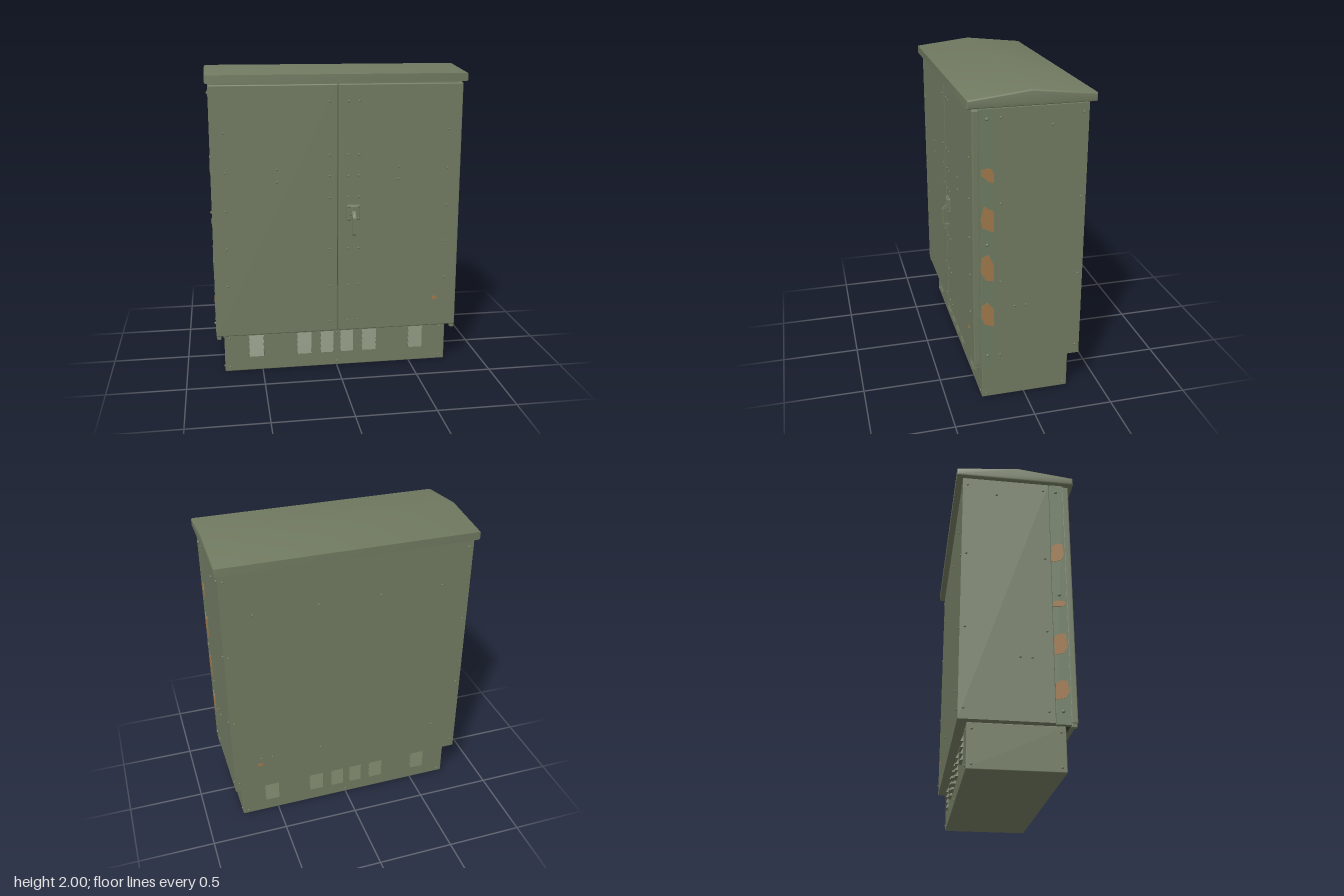
import * as THREE from 'three';
import { mergeGeometries, toCreasedNormals } from 'three/addons/utils/BufferGeometryUtils.js';
import { RoundedBoxGeometry } from 'three/addons/geometries/RoundedBoxGeometry.js';

const paint = new THREE.MeshStandardMaterial({ color: 0x707960 });
paint.name = 'olive paint';
const trim = new THREE.MeshStandardMaterial({ color: 0x6c7b61 });
trim.name = 'hinge strip green';
const rust = new THREE.MeshStandardMaterial({ color: 0xa0784a });
rust.name = 'rust';
const dark = new THREE.MeshStandardMaterial({ color: 0x3a4032 });
dark.name = 'seam shadow';

function add(parent, name, geometry, material, x = 0, y = 0, z = 0) {
  const mesh = new THREE.Mesh(geometry, material);
  mesh.name = name;
  mesh.position.set(x, y, z);
  parent.add(mesh);
  return mesh;
}

// Box given by its limits
function block(parent, name, [x0, x1], [y0, y1], [z0, z1], material, radius = 0) {
  const s = [x1 - x0, y1 - y0, z1 - z0];
  const g = radius ? new RoundedBoxGeometry(...s, 2, radius) : new THREE.BoxGeometry(...s);
  return add(parent, name, g, material, (x0 + x1) / 2, (y0 + y1) / 2, (z0 + z1) / 2);
}

// Profile of [z, y] points extruded along x, centred on x = 0
function extrudeX(points, width, bevel = 0) {
  const shape = new THREE.Shape(points.map(p => new THREE.Vector2(...p)));
  const g = new THREE.ExtrudeGeometry(shape, {
    depth: width - 2 * bevel, bevelEnabled: bevel > 0, bevelSize: bevel,
    bevelThickness: bevel, bevelOffset: -bevel, bevelSegments: 3,
  });
  g.rotateY(-Math.PI / 2).translate(width / 2 - bevel, 0, 0);
  return toCreasedNormals(g, 0.6);
}

// Domed rivet whose axis points along the given direction
function rivet(x, y, z, dir, scale = 1) {
  const g = new THREE.SphereGeometry(0.008 * scale, 8, 3, 0, Math.PI * 2, 0, Math.PI / 2);
  const q = new THREE.Quaternion().setFromUnitVectors(new THREE.Vector3(0, 1, 0), new THREE.Vector3(...dir));
  return g.applyQuaternion(q).translate(x, y, z);
}

// Louvre: hooded wedge, deepest at its lower lip
function louvre(width) {
  const g = new THREE.BoxGeometry(width, 0.032, 0.018).translate(0, 0.016, 0.009);
  const p = g.attributes.position;
  for (let i = 0; i < p.count; i++) {
    if (p.getZ(i) < 0.01) continue;
    if (p.getY(i) > 0.01) p.setZ(i, 0.002);
    else p.setX(i, p.getX(i) * 0.9);
  }
  g.computeVertexNormals();
  return g;
}

export function createModel() {
  const model = new THREE.Group();
  model.name = 'utilityCabinet';

  // Plinth and main housing
  block(model, 'plinth', [-0.75, 0.75], [0, 0.272], [-0.29, 0.275], paint, 0.006);
  block(model, 'housing', [-0.8, 0.8], [0.27, 1.9], [-0.345, 0.205], paint);
  block(model, 'doorFrame', [-0.785, 0.785], [0.272, 1.895], [0.2, 0.3], dark);
  block(model, 'neck', [-0.77, 0.77], [1.89, 1.915], [-0.31, 0.325], paint);

  // Gabled roof with softly rounded edges
  add(model, 'roof', extrudeX([
    [-0.385, 1.908], [0.365, 1.908], [0.365, 1.958], [0, 2], [-0.385, 1.958],
  ], 1.64, 0.01), paint);

  // Doors and the hinge strips beside them
  for (const s of [-1, 1]) {
    const door = block(model, s > 0 ? 'leftDoor' : 'rightDoor',
      [-0.3985, 0.3985], [0.273, 1.897], [0.292, 0.335], paint, 0.008);
    door.position.x = s * 0.401;
    const strip = block(model, 'hingeStrip', [-0.015, 0.015], [0.262, 1.9], [0.208, 0.296], trim);
    strip.position.x = s * 0.787;
    const foot = block(model, 'stripFoot', [-0.014, 0.014], [0.25, 0.28], [0.296, 0.33], paint, 0.005);
    foot.position.x = s * 0.783;
  }

  // Louvres on the front and back of the plinth
  const vents = [];
  for (const [x, w] of [[-0.54, 0.1], [-0.22, 0.1], [-0.067, 0.09], [0.067, 0.09], [0.22, 0.1], [0.54, 0.1]])
    for (const y of [0.103, 0.14, 0.178, 0.215]) {
      vents.push(louvre(w).translate(x, y, 0.275));
      vents.push(louvre(w).rotateY(Math.PI).translate(x, y, -0.29));
    }
  add(model, 'louvres', mergeGeometries(vents), paint);

  // Rivets on the doors
  const rivets = [];
  const front = (x, ys, z = 0.334) => ys.forEach(y => rivets.push(rivet(x, y, z, [0, 0, 1])));
  const back = (x, ys, z = -0.345) => ys.forEach(y => rivets.push(rivet(x, y, z, [0, 0, -1])));
  const seamRows = [1.79, 1.455, 1.32, 1.18, 0.84, 0.59, 0.345];
  for (const x of [-0.055, 0.065, 0.133]) front(x, seamRows);
  for (const s of [-1, 1]) {
    front(s * 0.715, [1.605, 1.355, 1.11, 0.865, 0.615]);
    front(s * 0.39, [1.37, 1.29]);
    // Housing sides, hinge strips and back edges
    const side = (z, ys, x = 0.8, k = 1) => ys.forEach(y => rivets.push(rivet(s * x, y, z, [s, 0, 0], k)));
    const edgeRows = [1.85, 1.34, 0.84, 0.335];
    side(0.17, edgeRows);
    side(-0.315, edgeRows);
    side(-0.13, [1.79]);
    side(0.08, [0.665]);
    side(0.01, [0.665]);
    side(0.25, [1.845, 1.09, 0.34], 0.801, 1.4);
    side(0.245, [0.235, 0.03], 0.75);
    side(-0.26, [0.235, 0.03], 0.75);
    back(s * 0.77, edgeRows);
    back(s * 0.61, [1.61, 0.51]);
    back(s * 0.2, [1.61]);
  }
  back(0.535, [0.51]);
  back(0.2, [0.51]);
  for (const x of [-0.715, 0, 0.715]) {
    front(x, [0.235, 0.03], 0.275);
    back(x, [0.235, 0.03], -0.29);
  }
  add(model, 'rivets', mergeGeometries(rivets), paint);

  // Door handle: plate, pivot block and swung lever
  const handle = new THREE.Group();
  handle.name = 'handle';
  handle.position.x = 0.097;
  model.add(handle);
  block(handle, 'handlePlate', [-0.043, 0.043], [1.028, 1.13], [0.33, 0.346], paint, 0.006);
  block(handle, 'handlePivot', [-0.025, 0.025], [1.06, 1.122], [0.34, 0.356], paint, 0.004);
  add(handle, 'handleLever', extrudeX([
    [0.34, 1.11], [0.352, 1.11], [0.36, 1.075], [0.385, 1.05], [0.385, 0.945], [0.378, 0.935],
    [0.335, 0.928], [0.335, 0.938], [0.37, 0.945], [0.376, 0.952], [0.376, 1.045], [0.34, 1.06],
  ], 0.022), paint);
  for (const x of [-0.033, 0.033])
    for (const y of [1.04, 1.118]) add(handle, 'plateScrew', rivet(x, y, 0.345, [0, 0, 1], 0.8), paint);

  // Rust patches: thin plates drawn as [u, y] outlines
  const patch = (points, depth = 0.003) => new THREE.ExtrudeGeometry(
    new THREE.Shape(points.map(p => new THREE.Vector2(...p))), { depth, bevelEnabled: false });
  const leftPatches = [
    [[0.285, 1.555], [0.23, 1.56], [0.21, 1.53], [0.21, 1.47], [0.24, 1.48], [0.285, 1.52]],
    [[0.27, 1.335], [0.21, 1.295], [0.21, 1.165], [0.28, 1.2], [0.29, 1.25]],
    [[0.285, 1.01], [0.24, 1.025], [0.21, 0.95], [0.21, 0.85], [0.26, 0.86], [0.292, 0.92]],
    [[0.285, 0.69], [0.25, 0.71], [0.21, 0.66], [0.21, 0.54], [0.27, 0.565], [0.29, 0.62]],
  ];
  for (const p of leftPatches)
    add(model, 'rustPatch', patch(p).rotateY(-Math.PI / 2), rust, 0.8045);
  for (const [y0, y1] of [[1.32, 1.455], [1.01, 1.05], [0.69, 0.83], [0.41, 0.53]]) {
    const h = y1 - y0;
    add(model, 'rustPatch', patch([[0.21, y0], [0.265, y0 + h * 0.1], [0.288, y0 + h * 0.4],
      [0.28, y1], [0.24, y1], [0.21, y1 - h * 0.2]]).rotateY(-Math.PI / 2), rust, -0.8015);
  }
  const chip = [[-0.018, 0.012], [-0.016, -0.012], [0.005, -0.01], [0.02, 0], [0.004, 0.013]];
  add(model, 'frontRustChip', patch(chip), rust, 0.655, 0.47, 0.333);
  add(model, 'backRustChip', patch(chip), rust, 0.62, 0.46, -0.3465);

  return model;
}
